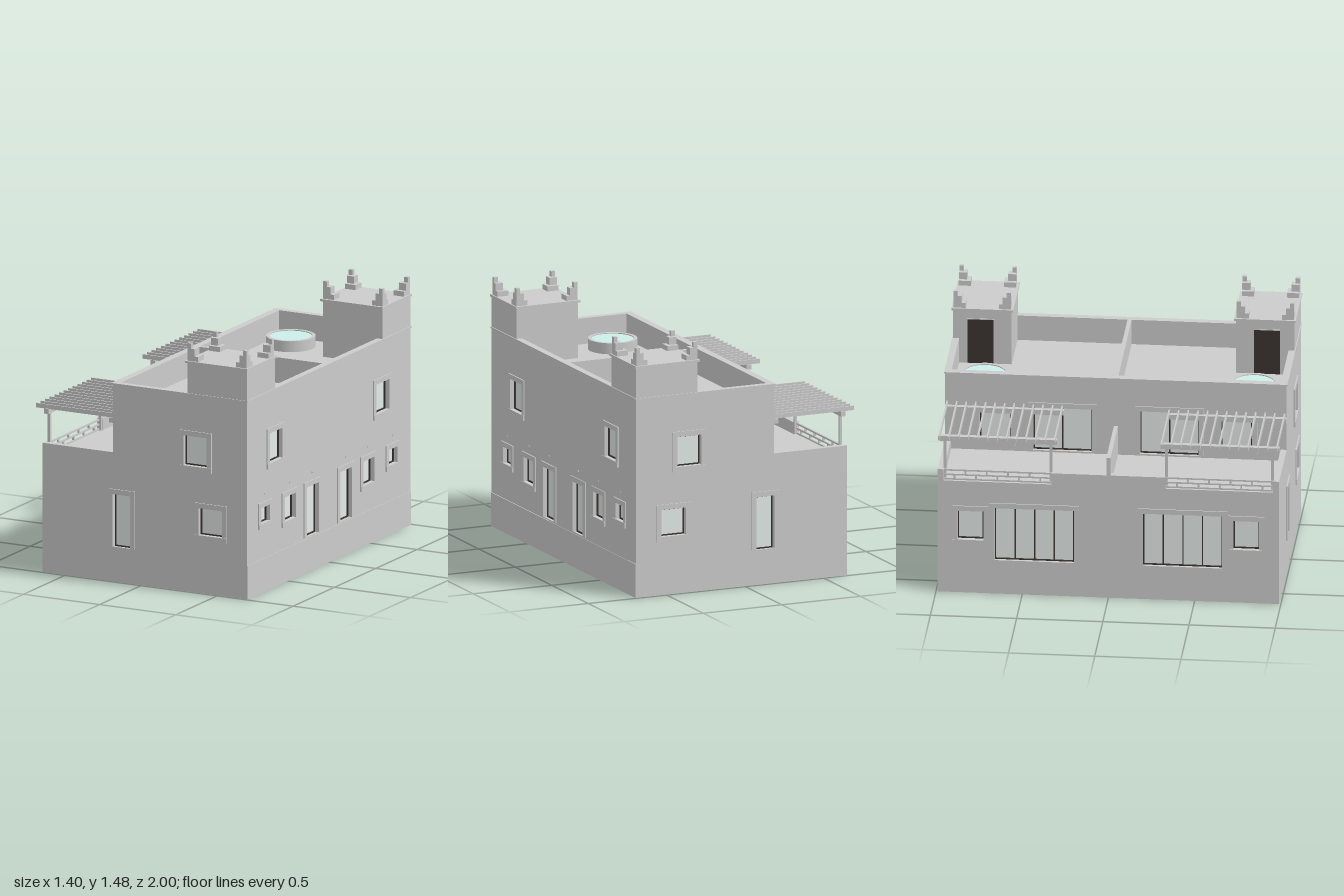
import * as THREE from 'three';

const wallMat = new THREE.MeshStandardMaterial({ color: 0xcccccc });
const glassMat = new THREE.MeshStandardMaterial({ color: 0xe2eae7 });
const skyMat = new THREE.MeshStandardMaterial({ color: 0xcdeeea });
const darkMat = new THREE.MeshStandardMaterial({ color: 0x3a3430 });

const X0 = -0.652, XM = -0.188, X1 = 0.69, Z = 0.99; // terrace edge, upper wall, far wall, half length
const FLOOR = 0.7, ROOF = 1.03, TOP = 1.18, T = 0.035;

function add(parent, name, geo, mat = wallMat) {
  const m = new THREE.Mesh(geo, mat);
  m.name = name;
  parent.add(m);
  return m;
}

// Box given by its min and max along each axis
function box(parent, name, [xa, xb], [ya, yb], [za, zb], mat) {
  const m = add(parent, name, new THREE.BoxGeometry(Math.abs(xb - xa), yb - ya, Math.abs(zb - za)), mat);
  m.position.set((xa + xb) / 2, (ya + yb) / 2, (za + zb) / 2);
  return m;
}

const rect = (C, a, b, c, d) => new C([[a, c], [b, c], [b, d], [a, d]].map(p => new THREE.Vector2(...p)));

// Recessed pane with dark frame, raised surround and sill; outer wall face is local z = 0
function windowUnit(wall, { u: [a, b], y: [c, d], panels = 1, door = false }) {
  const g = new THREE.Group();
  g.name = door ? 'glazedDoor' : 'window';
  wall.add(g);
  box(g, 'pane', [a, b], [c, d], [-0.034, -0.026], glassMat);
  const f = 0.007, zf = [-0.028, -0.018];
  box(g, 'frameBottom', [a, b], [c, c + f], zf, darkMat);
  box(g, 'frameTop', [a, b], [d - f, d], zf, darkMat);
  for (let i = 0; i <= panels; i++) {
    const x = a + f / 2 + (b - a - f) * i / panels;
    box(g, 'frameUpright', [x - f / 2, x + f / 2], [c, d], zf, darkMat);
  }
  const w = 0.03;
  box(g, 'surroundLeft', [a - w, a], [c, d], [0, 0.007]);
  box(g, 'surroundRight', [b, b + w], [c, d], [0, 0.007]);
  box(g, 'surroundTop', [a - w, b + w], [d, d + w], [0, 0.007]);
  if (!door) box(g, 'sill', [a - w, b + w], [c - w, c], [0, 0.01]);
}

// Wall slab with openings, turned about y to face outward
function facade(parent, name, outline, openings, angle, offset) {
  const g = new THREE.Group();
  g.name = name;
  const shape = new THREE.Shape(outline.map(p => new THREE.Vector2(...p)));
  for (const o of openings) shape.holes.push(rect(THREE.Path, ...o.u, ...o.y));
  const geo = new THREE.ExtrudeGeometry(shape, { depth: T, bevelEnabled: false });
  geo.translate(0, 0, -T);
  add(g, name + 'Wall', geo);
  openings.forEach(o => windowUnit(g, o));
  g.rotation.y = angle;
  g.position.set(Math.sin(angle) * offset, 0, Math.cos(angle) * offset);
  parent.add(g);
  return g;
}

const flip = o => ({ ...o, u: [-o.u[1], -o.u[0]] });
const mirrored = list => list.flatMap(o => [o, flip(o)]);

// Corner tower with doorway, cap slab and stepped corner merlons; s picks the end
function tower(parent, s) {
  const g = new THREE.Group();
  g.name = 'roofTower';
  const xa = 0.3, za = 0.65;
  box(g, 'towerBody', [xa, X1], [ROOF, 1.365], [s * za, s * Z]);
  box(g, 'towerDoor', [xa - 0.001, xa + 0.01], [ROOF, 1.305], [s * 0.755, s * 0.905], darkMat);
  for (const z of [0.749, 0.905])
    box(g, 'towerDoorJamb', [xa - 0.004, xa], [ROOF, 1.311], [s * z, s * (z + 0.006)]);
  box(g, 'towerDoorHead', [xa - 0.004, xa], [1.305, 1.311], [s * 0.755, s * 0.905]);
  box(g, 'towerCap', [0.287, 0.697], [1.362, 1.375], [s * 0.64, s * 0.998]);
  const steps = [[0.07, 1.37, 1.405], [0.047, 1.4, 1.448], [0.024, 1.44, 1.48]];
  for (const [cx, dx] of [[0.299, 1], [0.688, -1]])
    for (const [cz, dz] of [[0.655, 1], [0.987, -1]])
      for (const [w, y0, y1] of steps)
        box(g, 'merlonStep', [cx, cx + dx * w], [y0, y1], [s * cz, s * (cz + dz * w)]);
  parent.add(g);
}

// Slatted pergola over one terrace, with posts and a low lattice railing
function pergola(parent, s) {
  const g = new THREE.Group();
  g.name = 'pergola';
  for (let i = 0; i < 13; i++) {
    const z = s * (0.31 + i * 0.0557);
    box(g, 'slat', [-0.7, XM], [0.974, 1.0], [z - 0.004, z + 0.004]);
  }
  box(g, 'outerBeam', [-0.643, -0.613], [0.945, 0.975], [s * 0.3, s * Z]);
  box(g, 'wallBeam', [-0.215, XM], [0.945, 0.975], [s * 0.3, s * Z]);
  for (const z of [s * 0.335, s * 0.95])
    box(g, 'post', [-0.635, -0.619], [FLOOR, 0.95], [z - 0.008, z + 0.008]);
  const rx = [-0.642, -0.63];
  for (const y of [0.707, 0.735, 0.763]) box(g, 'rail', rx, [y - 0.005, y + 0.005], [s * 0.33, s * 0.96]);
  for (let i = 0; i <= 10; i++) {
    const z = s * (0.335 + i * 0.062);
    const y = i % 2 ? [0.705, 0.738] : [0.733, 0.766];
    box(g, 'baluster', rx, y, [z - 0.005, z + 0.005]);
  }
  parent.add(g);
}

// Round skylight with raised curb
function skylight(parent, s) {
  const g = new THREE.Group();
  g.name = 'skylight';
  const curb = [[0.143, 0], [0.143, 0.065], [0.123, 0.065], [0.123, 0]];
  for (let i = 0; i < 3; i++) // separate strips keep the edges sharp
    add(g, 'curb', new THREE.LatheGeometry(curb.slice(i, i + 2).map(p => new THREE.Vector2(...p)), 40));
  add(g, 'skylightGlass', new THREE.CylinderGeometry(0.124, 0.124, 0.01, 40), skyMat).position.y = 0.055;
  g.position.set(0.018, ROOF, s * 0.78);
  parent.add(g);
}

export function createModel() {
  const model = new THREE.Group();
  model.name = 'house';

  // End walls, front and back mirrored
  const side = [[X0, 0], [X1, 0], [X1, TOP], [XM, TOP], [XM, 0.77], [X0, 0.77]];
  const sideOpenings = [
    { u: [0.277, 0.43], y: [0.752, 0.93] },
    { u: [0.377, 0.531], y: [0.347, 0.507] },
    { u: [-0.187, -0.073], y: [0.208, 0.522], door: true },
  ];
  facade(model, 'front', side, sideOpenings, 0, Z);
  facade(model, 'back', side.map(([x, y]) => [-x, y]), sideOpenings.map(flip), Math.PI, Z);

  // Entrance side
  const entrance = facade(model, 'entranceSide', [[-Z, 0], [Z, 0], [Z, TOP], [-Z, TOP]], mirrored([
    { u: [0.568, 0.722], y: [0.752, 0.93] },
    { u: [0.72, 0.822], y: [0.412, 0.507] },
    { u: [0.41, 0.54], y: [0.362, 0.507] },
    { u: [0.13, 0.272], y: [0.208, 0.507], door: true },
  ]), Math.PI / 2, X1);
  box(entrance, 'plinth', [-Z, Z], [0, 0.2], [-0.01, 0.004]);
  for (const u of [-0.77, -0.475, -0.2, 0.2, 0.475, 0.77])
    box(entrance, 'wallLamp', [u - 0.004, u + 0.004], [0.577, 0.587], [0, 0.004]);

  // Terrace side, parapet notched for the railings
  facade(model, 'terraceSide', [[-Z, 0], [Z, 0], [Z, 0.77], [0.96, 0.77], [0.96, FLOOR], [0.33, FLOOR], [0.33, 0.77],
    [-0.33, 0.77], [-0.33, FLOOR], [-0.96, FLOOR], [-0.96, 0.77], [-Z, 0.77]], mirrored([
    { u: [0.2, 0.66], y: [0.21, 0.54], panels: 4, door: true },
    { u: [0.725, 0.875], y: [0.335, 0.515] },
  ]), -Math.PI / 2, -X0);

  // Upper wall facing the terraces
  facade(model, 'upperTerraceSide', [[-Z, 0.66], [Z, 0.66], [Z, TOP], [-Z, TOP]], mirrored([
    { u: [0.14, 0.48], y: [0.71, 0.98], panels: 2, door: true },
    { u: [0.61, 0.79], y: [0.765, 0.935] },
  ]), -Math.PI / 2, -XM);

  // Floors and dividing walls
  const zi = [-Z + 0.01, Z - 0.01];
  box(model, 'base', [X0 + 0.01, X1 - 0.01], [0, 0.02], zi);
  box(model, 'terraceFloor', [X0 + 0.01, XM], [FLOOR - 0.03, FLOOR], zi);
  box(model, 'roofFloor', [XM + 0.01, X1 - 0.01], [ROOF - 0.03, ROOF], zi);
  box(model, 'terraceDivider', [X0, XM], [FLOOR, 0.88], [-0.012, 0.012]);
  box(model, 'roofDivider', [XM + 0.02, X1 - 0.02], [ROOF, TOP], [-0.012, 0.012]);

  // Thin coping around the roof parapet and over the divider
  const coping = rect(THREE.Shape, XM - 0.01, X1 + 0.006, -Z - 0.005, Z + 0.005);
  for (const [a, b] of [[-Z + T, -0.012], [0.012, Z - T]])
    coping.holes.push(rect(THREE.Path, XM + T, X1 - T, a, b));
  const copingGeo = new THREE.ExtrudeGeometry(coping, { depth: 0.008, bevelEnabled: false });
  copingGeo.rotateX(-Math.PI / 2);
  add(model, 'coping', copingGeo).position.y = TOP - 0.005;

  for (const s of [1, -1]) {
    tower(model, s);
    pergola(model, s);
    skylight(model, s);
  }
  return model;
}
